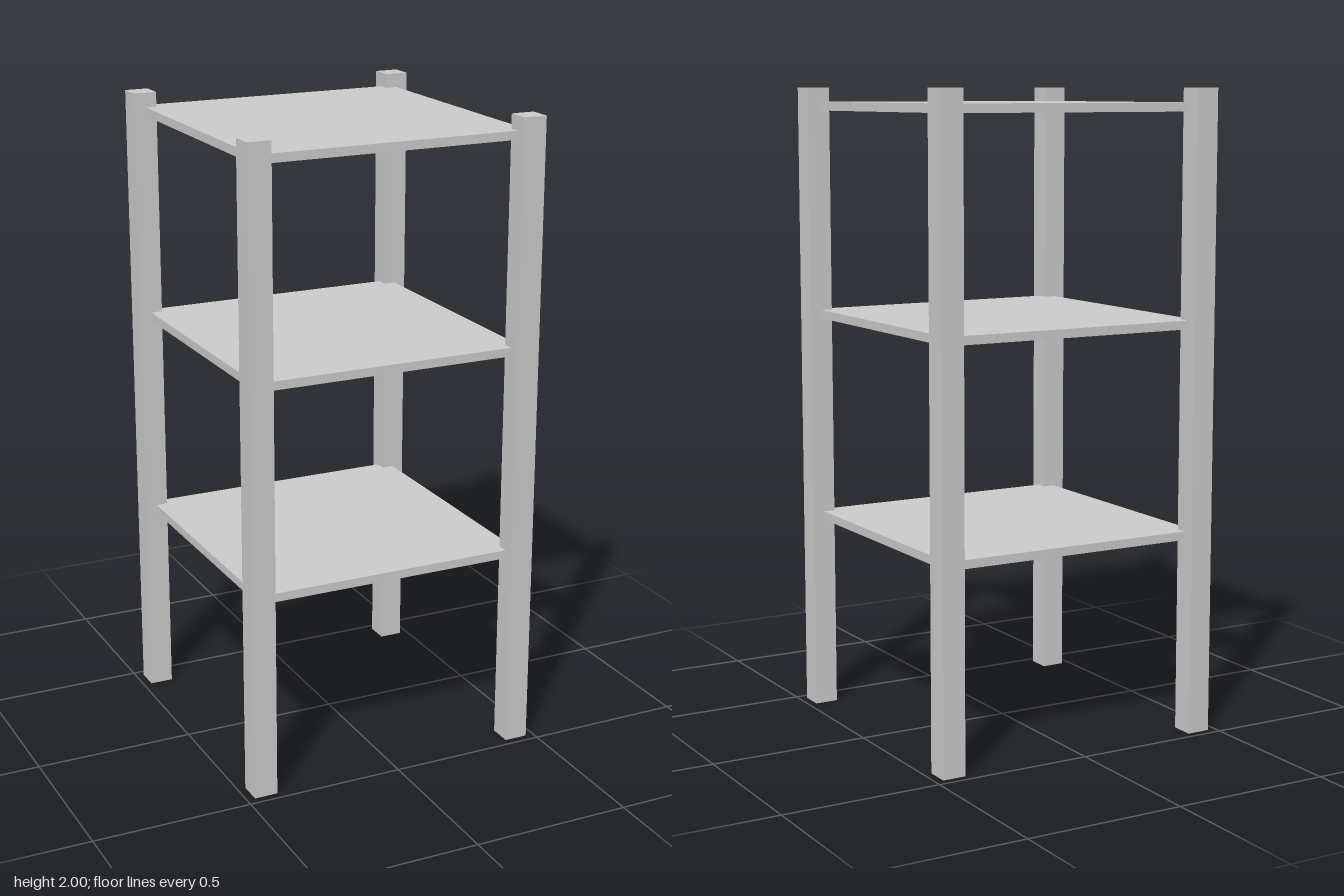
import * as THREE from 'three';

export function createModel() {
  const model = new THREE.Group();
  model.name = 'shelfUnit';
  const material = new THREE.MeshStandardMaterial({ color: 0xcccccc });
  const postWidth = 0.074;
  const postOffset = 0.437; // post centres, which also set the shelf edges

  function addBox(name, width, height, depth, x, y, z) {
    const mesh = new THREE.Mesh(new THREE.BoxGeometry(width, height, depth), material);
    mesh.name = name;
    mesh.position.set(x, y, z);
    model.add(mesh);
  }

  // Four square corner posts
  for (const [side, sx] of [['Left', 1], ['Right', -1]]) {
    for (const [end, sz] of [['front', 1], ['back', -1]]) {
      addBox(`${end}${side}Post`, postWidth, 2, postWidth, sx * postOffset, 1, sz * postOffset);
    }
  }

  // Three thin square shelves, their corners set into the posts
  const shelves = { lowerShelf: 0.627, middleShelf: 1.284, upperShelf: 1.942 };
  for (const [name, y] of Object.entries(shelves)) {
    addBox(name, postOffset * 2, 0.027, postOffset * 2, 0, y, 0);
  }

  return model;
}
